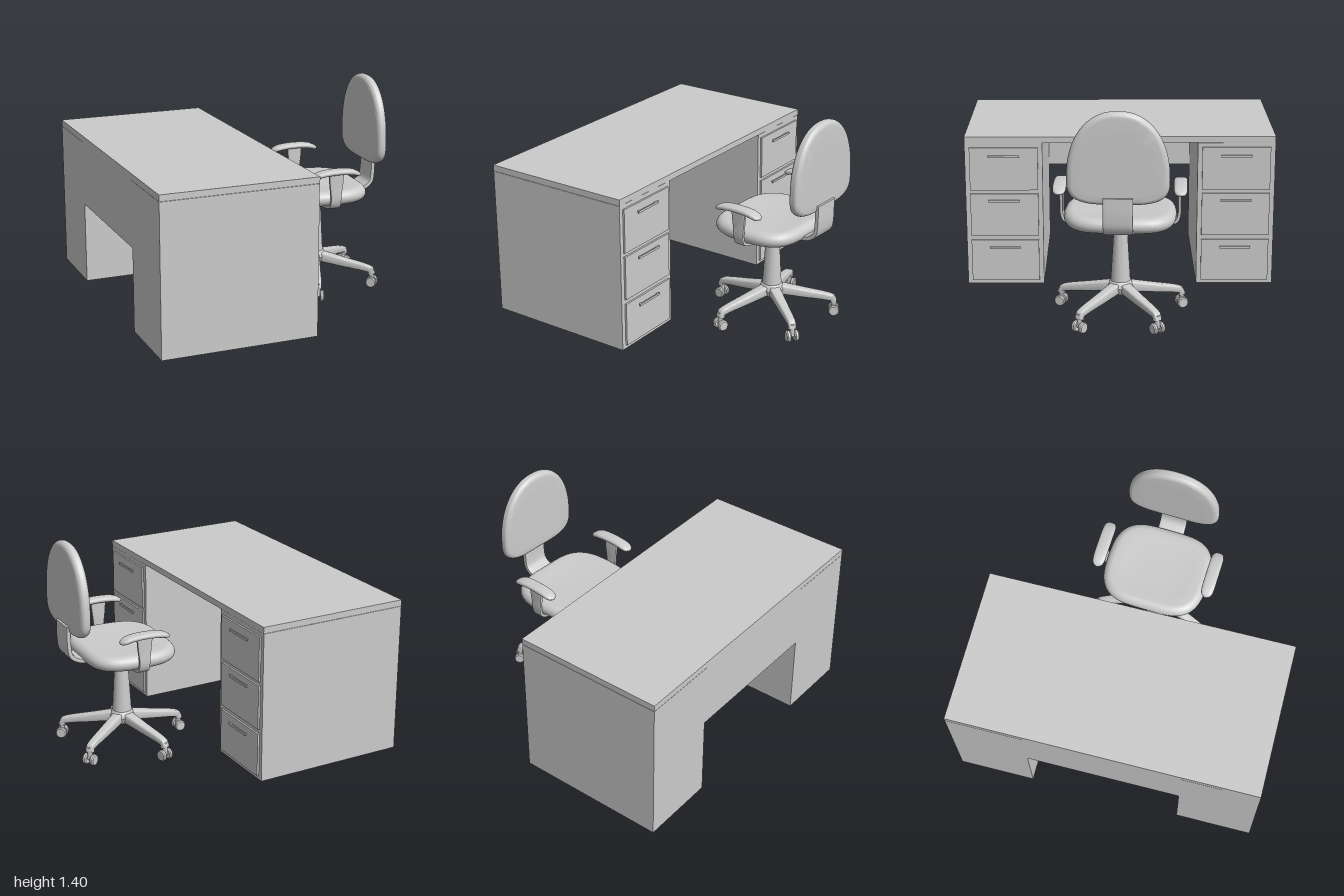
import * as THREE from 'three';
import { toCreasedNormals } from 'three/addons/utils/BufferGeometryUtils.js';

const material = new THREE.MeshStandardMaterial({ color: 0xcccccc });

function add(parent, name, geometry, x = 0, y = 0, z = 0) {
  const mesh = new THREE.Mesh(geometry, material);
  mesh.name = name;
  mesh.position.set(x, y, z);
  parent.add(mesh);
  return mesh;
}

// Box given by its minimum and maximum corners
function box(parent, name, [x0, y0, z0], [x1, y1, z1]) {
  return add(parent, name, new THREE.BoxGeometry(x1 - x0, y1 - y0, z1 - z0),
    (x0 + x1) / 2, (y0 + y1) / 2, (z0 + z1) / 2);
}

// Closed skin over rings that turn counter-clockwise about the direction of travel
function loft(rings, crease = 0.7) {
  const n = rings[0].length, pos = [], index = [];
  rings.forEach(r => r.forEach(p => pos.push(...p)));
  for (let i = 0; i < rings.length - 1; i++) {
    for (let j = 0; j < n; j++) {
      const k = (j + 1) % n, a = i * n + j, b = i * n + k;
      index.push(a, b, b + n, a, b + n, a + n);
    }
  }
  [rings[0], rings[rings.length - 1]].forEach((r, end) => {
    const centre = pos.length / 3, base = end ? (rings.length - 1) * n : 0;
    pos.push(...[0, 1, 2].map(d => r.reduce((s, p) => s + p[d], 0) / n));
    for (let j = 0; j < n; j++) {
      const k = (j + 1) % n;
      index.push(centre, base + (end ? j : k), base + (end ? k : j));
    }
  });
  const g = new THREE.BufferGeometry();
  g.setAttribute('position', new THREE.Float32BufferAttribute(pos, 3));
  g.setIndex(index);
  return toCreasedNormals(g, crease);
}

const power = (v, e) => Math.sign(v) * Math.abs(v) ** e;

// Rounded bar along a curve in the XY plane; width (along z) and thickness are functions of t
function sweep(points, width, thick, steps = 24, square = 0.4) {
  const curve = new THREE.CatmullRomCurve3(points.map(p => new THREE.Vector3(p[0], p[1], 0)), false, 'centripetal');
  const rings = [];
  for (let i = 0; i <= steps; i++) {
    const t = i / steps, p = curve.getPointAt(t), d = curve.getTangentAt(t);
    const ring = [];
    for (let j = 0; j < 20; j++) {
      const a = j / 20 * Math.PI * 2;
      const n = power(Math.cos(a), square) * thick(t) / 2, b = power(Math.sin(a), square) * width(t) / 2;
      ring.push([p.x - d.y * n, p.y + d.x * n, b]);
    }
    rings.push(ring);
  }
  return loft(rings);
}

// Upholstered pad: outline in XY, rounded rim of the given thickness along z
function cushion(outline, thickness, rim, dish = 0) {
  const rings = [], profile = [];
  for (const s of [0.05, 0.35, 0.65]) profile.push([s, -1]);
  for (let i = 0; i <= 12; i++) {
    const a = (i / 12 - 0.5) * Math.PI;
    profile.push([null, Math.sin(a), rim * (1 - Math.cos(a))]);
  }
  for (const s of [0.65, 0.35, 0.05]) profile.push([s, 1]);
  for (const [s, h, inset] of profile) {
    const ring = [];
    for (let j = 0; j < 64; j++) {
      const [x, y] = outline(j / 64 * Math.PI * 2), r = Math.hypot(x, y);
      const f = s === null ? 1 - inset / r : s;
      const sink = h > 0 && s !== null ? dish * (1 - s * s) : 0;
      ring.push([x * f, y * f, h * thickness / 2 - sink]);
    }
    rings.push(ring);
  }
  return loft(rings, 1);
}

function createDesk() {
  const desk = new THREE.Group();
  desk.name = 'desk';
  box(desk, 'deskTop', [-0.92, 0.99, -1], [0.08, 1.03, 1]);
  box(desk, 'modestyPanel', [-0.92, 0.565, -0.5], [-0.88, 0.99, 0.5]);
  for (const side of [-1, 1]) {
    const mid = side * 0.75;
    box(desk, 'pedestal', [-0.92, 0.03, mid - 0.25], [0.078, 0.988, mid + 0.25]);
    for (const [bottom, top, grip] of [[0.675, 0.96, 0.905], [0.365, 0.65, 0.605], [0.055, 0.335, 0.285]]) {
      box(desk, 'drawerFront', [0.07, bottom, mid - 0.22], [0.09, top, mid + 0.22]);
      box(desk, 'drawerHandle', [0.098, grip - 0.007, mid - 0.1], [0.106, grip + 0.007, mid + 0.1]);
      for (const e of [-0.085, 0.085])
        box(desk, 'handlePost', [0.088, grip - 0.005, mid + e - 0.006], [0.1, grip + 0.005, mid + e + 0.006]);
    }
  }
  return desk;
}

function createCaster() {
  const caster = new THREE.Group();
  caster.name = 'caster';
  add(caster, 'casterStem', new THREE.CylinderGeometry(0.016, 0.016, 0.07, 16), 0, 0.085);
  // Rounded twin wheels
  const half = [[0, -0.014], [0.03, -0.014], [0.036, -0.007], [0.036, 0.007], [0.03, 0.014], [0, 0.014]];
  const wheel = new THREE.LatheGeometry(half.map(p => new THREE.Vector2(...p)), 24).rotateX(Math.PI / 2);
  for (const s of [-1, 1]) add(caster, 'casterWheel', toCreasedNormals(wheel, 0.6), 0, 0.036, s * 0.026);
  const axle = new THREE.CylinderGeometry(0.014, 0.014, 0.05, 12).rotateX(Math.PI / 2);
  add(caster, 'casterAxle', axle, 0, 0.042);
  return caster;
}

function createChair() {
  const chair = new THREE.Group();
  chair.name = 'officeChair';

  // Five-legged base with casters
  for (let i = 0; i < 5; i++) {
    const leg = new THREE.Group();
    leg.name = 'baseLeg';
    leg.rotation.y = Math.PI + i / 5 * Math.PI * 2;
    add(leg, 'legBar', sweep([[0.02, 0.188], [0.2, 0.155], [0.36, 0.127], [0.395, 0.115], [0.403, 0.085]],
      t => 0.075 - 0.028 * t, t => 0.07 - 0.03 * t));
    const caster = createCaster();
    caster.position.x = 0.403;
    leg.add(caster);
    chair.add(leg);
  }

  // Column rising from the hub
  const column = [[0, 0.145], [0.065, 0.145], [0.08, 0.185], [0.068, 0.22], [0.062, 0.225], [0.06, 0.25], [0.04, 0.6], [0, 0.6]];
  add(chair, 'column', toCreasedNormals(
    new THREE.LatheGeometry(column.map(p => new THREE.Vector2(...p)), 32), 0.6));
  box(chair, 'seatPlate', [-0.09, 0.598, -0.08], [0.09, 0.63, 0.08]);

  // Seat cushion
  const seat = add(chair, 'seat', cushion(a => {
    const x = 0.295 * power(Math.cos(a), 0.5), y = 0.348 * power(Math.sin(a), 0.5);
    return [x, y * (1 - 0.12 * (x / 0.295) ** 2)];
  }, 0.095, 0.055, 0.012), 0, 0.662, 0);
  seat.rotation.x = -Math.PI / 2;

  // Domed backrest and its bent support
  const back = add(chair, 'backrest', cushion(a => {
    const up = Math.sin(a) > 0, e = up ? 0.91 : 0.6;
    return [0.307 * power(Math.cos(a), e), (up ? 0.41 : 0.16) * power(Math.sin(a), e)];
  }, 0.07, 0.035), 0.35, 0.99, 0);
  back.rotation.y = Math.PI / 2;
  add(chair, 'backSupport', sweep([[0.1, 0.622], [0.24, 0.63], [0.33, 0.65], [0.372, 0.685], [0.384, 0.75], [0.384, 0.88]],
    () => 0.18, () => 0.032, 28, 0.25));

  // Armrests
  const rounded = t => Math.sqrt(Math.max(0.02, 1 - Math.abs(2 * t - 1) ** 7));
  for (const side of [-1, 1]) {
    const arm = new THREE.Group();
    arm.name = 'armrest';
    const strap = add(arm, 'armBracket', sweep([[0.2, 0.608], [0.3, 0.608], [0.345, 0.622], [0.362, 0.66], [0.364, 0.75], [0.366, 0.845]],
      t => 0.1 - 0.03 * Math.sin(Math.PI * t) ** 2, () => 0.022, 28, 0.25));
    strap.rotation.y = -side * Math.PI / 2;
    add(arm, 'armPad', sweep([[-0.165, 0.832], [-0.1, 0.85], [0, 0.857], [0.1, 0.85], [0.165, 0.828]],
      t => 0.085 * rounded(t), t => 0.036 * rounded(t), 40, 0.7), 0, 0, side * 0.37);
    chair.add(arm);
  }

  chair.position.x = 0.52;
  chair.rotation.y = -0.05;
  return chair;
}

export function createModel() {
  const model = new THREE.Group();
  model.name = 'deskAndChair';
  model.add(createDesk(), createChair());
  return model;
}
